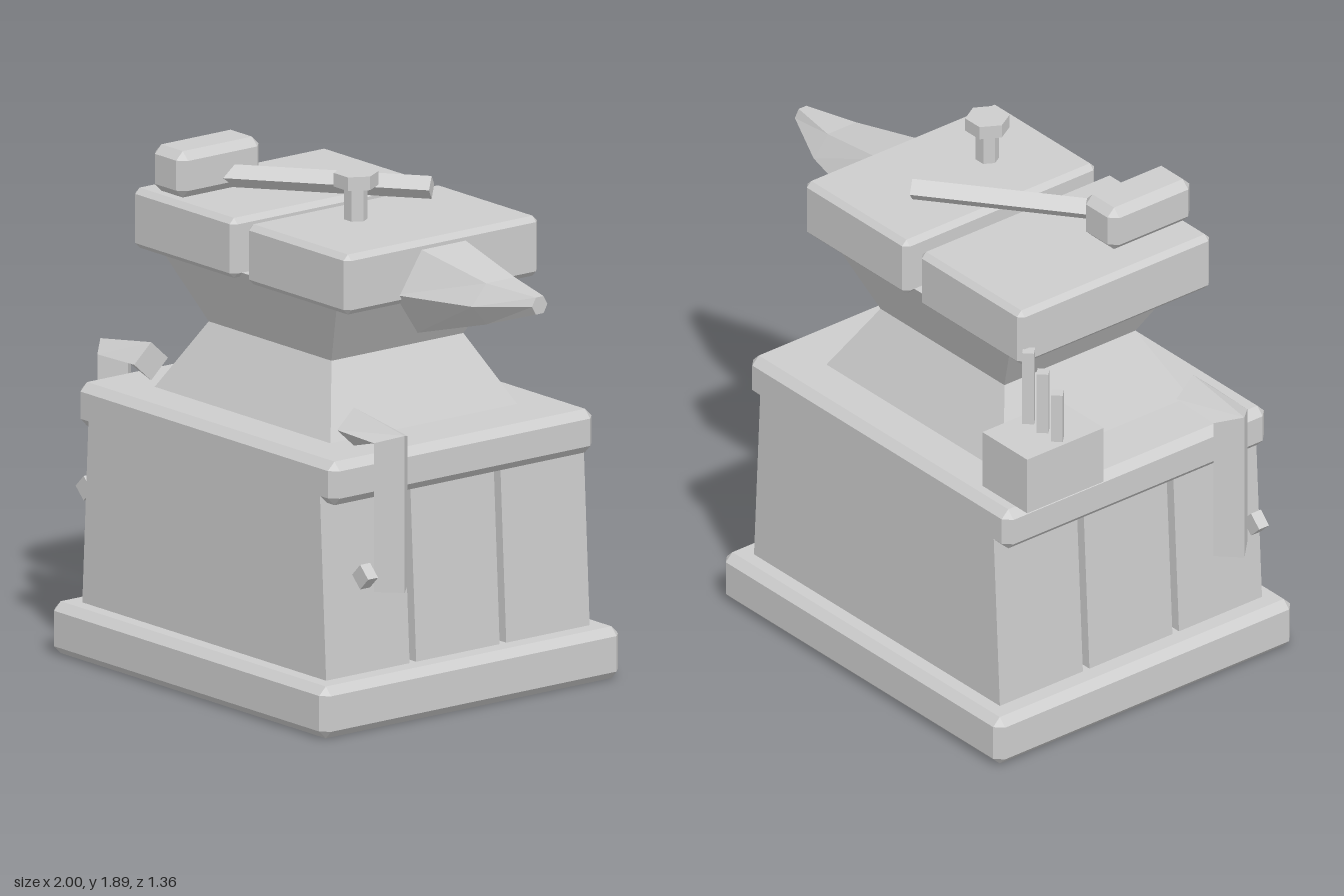
import * as THREE from 'three';
import { ConvexGeometry } from 'three/addons/geometries/ConvexGeometry.js';

const CX = -0.145; // middle of the stand, which is offset because of the horn

// Box between two corners with every edge cut by c
function chamferBox(x0, x1, y0, y1, z0, z1, c) {
  const pts = [];
  const h = [(x1 - x0) / 2, (y1 - y0) / 2, (z1 - z0) / 2];
  for (const sx of [-1, 1]) for (const sy of [-1, 1]) for (const sz of [-1, 1]) {
    for (let axis = 0; axis < 3; axis++) {
      const d = h.map((v, i) => (i === axis ? v : v - c));
      pts.push(new THREE.Vector3(
        (x0 + x1) / 2 + sx * d[0], (y0 + y1) / 2 + sy * d[1], (z0 + z1) / 2 + sz * d[2]));
    }
  }
  return new ConvexGeometry(pts);
}

// Flat-shaded skin over rings of points that turn counterclockwise about the travel direction
function loft(rings) {
  const pos = [];
  const tri = (a, b, c) => pos.push(...a, ...b, ...c);
  const n = rings[0].length;
  for (let i = 0; i < rings.length - 1; i++) {
    for (let j = 0; j < n; j++) {
      const k = (j + 1) % n;
      tri(rings[i][j], rings[i][k], rings[i + 1][j]);
      tri(rings[i][k], rings[i + 1][k], rings[i + 1][j]);
    }
  }
  const first = rings[0], last = rings[rings.length - 1];
  for (let j = 1; j < n - 1; j++) {
    tri(first[0], first[j + 1], first[j]);
    tri(last[0], last[j], last[j + 1]);
  }
  const g = new THREE.BufferGeometry();
  g.setAttribute('position', new THREE.Float32BufferAttribute(pos, 3));
  g.computeVertexNormals();
  return g;
}

// Horizontal rectangle ring centred on the stand
const rect = (y, hx, z0, z1) =>
  [[CX - hx, y, z1], [CX + hx, y, z1], [CX + hx, y, z0], [CX - hx, y, z0]];

// Low-sided rod along y
function rod(r, length, sides) {
  const g = new THREE.CylinderGeometry(r, r, length, sides).toNonIndexed();
  g.computeVertexNormals();
  return g;
}

export function createModel() {
  const model = new THREE.Group();
  model.name = 'anvilOnStand';
  const grey = new THREE.MeshStandardMaterial({ color: 0xcccccc });
  grey.name = 'grey';
  const add = (name, geometry, parent = model) => {
    const mesh = new THREE.Mesh(geometry, grey);
    mesh.name = name;
    parent.add(mesh);
    return mesh;
  };

  // Stand: foot plate, three tapered planks with gaps, top slab
  add('standFoot', chamferBox(-0.92, 0.63, 0, 0.19, -0.68, 0.68, 0.03));
  for (const [z0, z1] of [[-0.6, -0.22], [-0.19, 0.19], [0.22, 0.6]]) {
    add('standPlank', loft([rect(0.17, 0.686, z0, z1), rect(0.87, 0.65, z0, z1)]));
  }
  add('standTop', chamferBox(-0.87, 0.58, 0.83, 0.99, -0.6, 0.6, 0.03));

  // Anvil: pinched waist, two face blocks, horn
  add('anvilWaist', loft([
    rect(0.98, 0.5, -0.43, 0.43), rect(1.24, 0.345, -0.3, 0.3), rect(1.5, 0.5, -0.4, 0.4)]));
  add('anvilFaceRight', chamferBox(-0.75, -0.18, 1.48, 1.7, -0.44, 0.44, 0.02));
  add('anvilFaceLeft', chamferBox(-0.11, 0.46, 1.48, 1.7, -0.44, 0.44, 0.02));
  const hornRing = (x, y, ry, rz) => Array.from({ length: 6 }, (_, j) => {
    const a = (j + 0.5) * Math.PI / 3;
    return [x, y + ry * Math.cos(a), rz * Math.sin(a)];
  });
  add('anvilHorn', loft([
    hornRing(0.44, 1.515, 0.18, 0.205), hornRing(0.78, 1.53, 0.087, 0.13),
    hornRing(1, 1.56, 0.036, 0.035)]));

  // Hammer lying on the face
  const hammer = new THREE.Group();
  hammer.name = 'hammer';
  model.add(hammer);
  add('hammerHead', chamferBox(-0.65, -0.47, 1.71, 1.88, 0.065, 0.44, 0.03), hammer);
  const handle = add('hammerHandle', rod(0.042, 0.83, 4).rotateZ(-Math.PI / 2).rotateY(0.666), hammer);
  handle.position.set(-0.235, 1.76, 0.0125);

  // Hexagonal bolt
  const bolt = new THREE.Group();
  bolt.name = 'bolt';
  bolt.position.set(0.14, 0, 0.14);
  model.add(bolt);
  add('boltShaft', rod(0.042, 0.13, 6).rotateY(Math.PI / 2), bolt).position.y = 1.785;
  add('boltHead', rod(0.08, 0.05, 6).rotateY(Math.PI / 2), bolt).position.y = 1.867;

  // Tool box with three rods
  add('toolBox', new THREE.BoxGeometry(0.25, 0.22, 0.35)).position.set(-0.845, 1.15, -0.415);
  for (let i = 0; i < 3; i++) {
    const top = 1.45 + i * 0.05;
    add('toolRod', rod(0.03, top - 1.2, 4)).position.set(-0.925 + i * 0.08, (top + 1.2) / 2, -0.415);
  }

  // Bent diamond-section hooks on both sides, each with a pin
  for (const side of [1, -1]) {
    const hook = new THREE.Group();
    hook.name = side > 0 ? 'leftHook' : 'rightHook';
    model.add(hook);
    // outer ridge, front ridge, inner ridge, back ridge at each station
    const stations = [
      [[0.57, 1.13], [0.57, 1.06], [0.57, 0.99]],
      [[0.855, 1.085], [0.777, 1.055], [0.7, 1.03]],
      [[0.855, 0.51], [0.777, 0.51], [0.7, 0.51]]];
    const rings = stations.map(([outer, mid, inner]) => {
      const ring = [[...outer, 0.38], [...mid, 0.457], [...inner, 0.38], [...mid, 0.303]]
        .map(([x, y, z]) => [CX + side * x, y, z]);
      return side > 0 ? ring : ring.reverse();
    });
    add('hookArm', loft(rings), hook);
    add('hookPin', rod(0.045, 0.045, 4).rotateX(Math.PI / 2), hook)
      .position.set(CX + side * 0.777, 0.575, 0.497);
  }
  return model;
}
